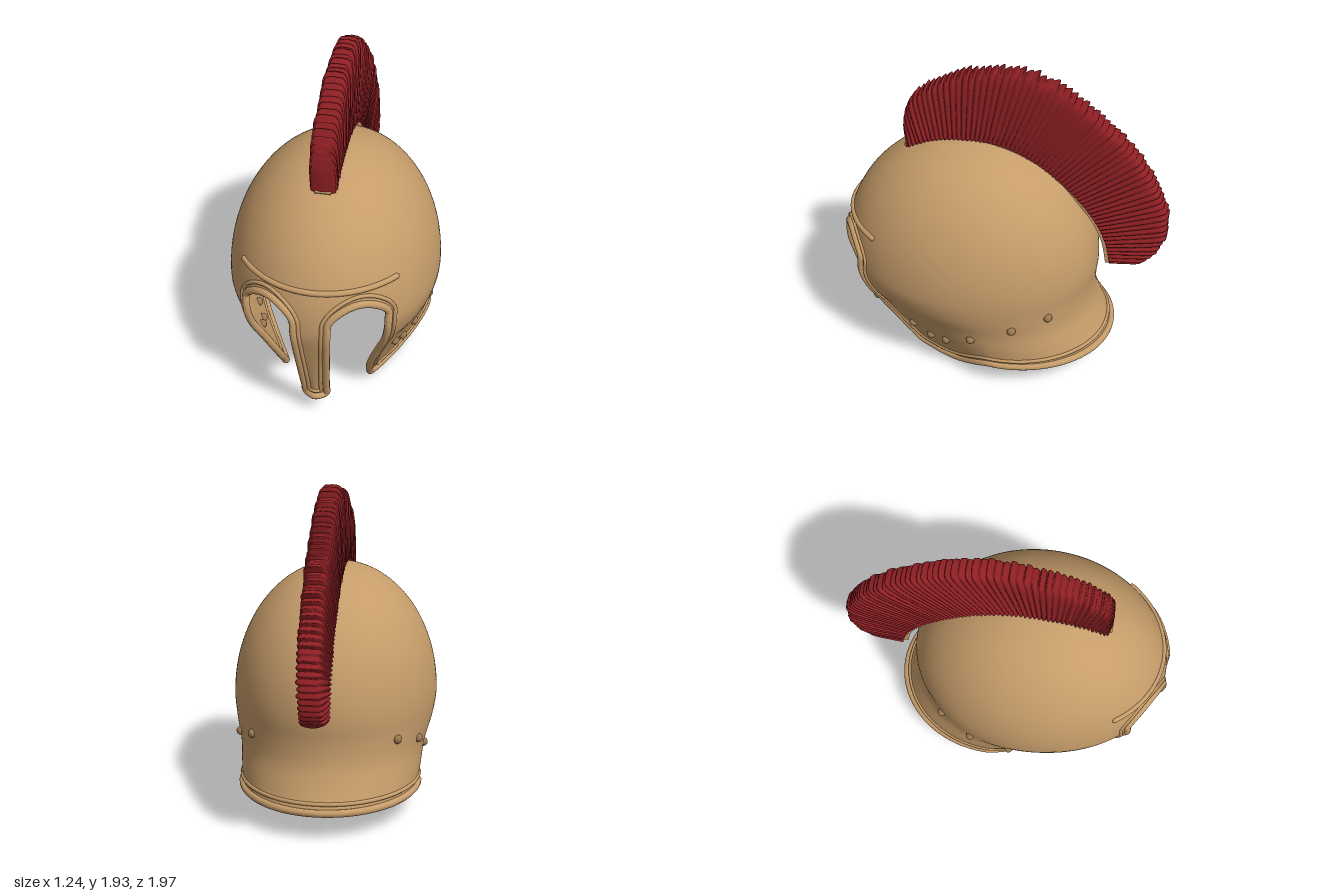
import * as THREE from 'three';
import { mergeGeometries, mergeVertices } from 'three/addons/utils/BufferGeometryUtils.js';

const { lerp, smoothstep, clamp } = THREE.MathUtils;

// Horizontal sections every 0.13 in height:
// half width, widest z, front z, back z, front roundness, cheek edge x
const SECTIONS = [
  [0.5, -0.1, 0.86, -0.7, 1.2, 0.262],
  [0.525, -0.08, 0.872, -0.69, 1.35, 0.268],
  [0.543, -0.03, 0.897, -0.63, 1.55, 0.297],
  [0.56, 0.05, 0.925, -0.58, 1.78, 0.34],
  [0.6, 0.15, 0.955, -0.57, 1.95, 0.385],
  [0.62, 0.2, 0.98, -0.58, 2, 0.405],
  [0.611, 0.2, 0.969, -0.569, 2, 0.405],
];

function section(y) {
  if (y >= 0.65) { // ellipsoid dome
    const k = Math.sqrt(Math.max(0, 1 - ((y - 0.65) / 0.79) ** 2));
    return [0.62 * k, 0.2, 0.2 + 0.78 * k, 0.2 - 0.78 * k, 2, 0.405];
  }
  const f = clamp(y / 0.13, 0, 4.9999), i = Math.floor(f), t = f - i;
  const row = (j) => SECTIONS[clamp(j, 0, 6)];
  return row(i).map((b, k) => {
    const a = row(i - 1)[k], c = row(i + 1)[k], d = row(i + 2)[k];
    return b + 0.5 * t * (c - a + t * (2 * a - 5 * b + 4 * c - d + t * (3 * (b - c) + d - a)));
  });
}

// Point on the helmet surface; angle 0 is the front, positive towards +x
function surface(angle, y) {
  const [w, zc, zf, zb, p] = section(y);
  const s = Math.sin(angle), c = Math.cos(angle);
  const e = c > 0 ? 2 / p : 1;
  const x = w * Math.sign(s) * Math.abs(s) ** lerp(1, 2 / p, smoothstep(c, -0.15, 0.15));
  return new THREE.Vector3(x, y, c > 0 ? zc + (zf - zc) * c ** e : zc + (zc - zb) * c);
}

function angleAt(x, y) {
  const [w, , , , p] = section(y);
  return Math.asin(Math.min(1, Math.max(0, x) / w) ** (p / 2));
}

// Edges of the face opening
const EYE = 0.74;
const noseX = (y) => 0.05 + 0.065 * Math.min(y, EYE);
const noseAngle = (y) => angleAt(noseX(Math.min(y, EYE)), Math.min(y, EYE));
const cheekX = (y) => section(Math.min(y, EYE))[5];
const cheekAngle = (y) => angleAt(cheekX(y), Math.min(y, EYE));
const archY = (t) => EYE + 0.1 * Math.max(0, Math.sin(Math.PI * t)) ** 0.7;
const rimY = (u) => 0.022 + 0.138 * smoothstep(u, 0.06, 0.34);

// Grid surface from a rule f(u, v) -> Vector3
function grid(nu, nv, f) {
  const pos = [], idx = [];
  for (let i = 0; i <= nu; i++) for (let j = 0; j <= nv; j++) pos.push(...f(i / nu, j / nv).toArray());
  for (let i = 0; i < nu; i++) for (let j = 0; j < nv; j++) {
    const a = i * (nv + 1) + j, b = a + nv + 1;
    idx.push(a, b, b + 1, a, b + 1, a + 1);
  }
  const g = new THREE.BufferGeometry();
  g.setAttribute('position', new THREE.Float32BufferAttribute(pos, 3));
  g.setIndex(idx);
  return g;
}

// Height from a lower edge (v = 0) to the crown (v = 1)
function domeY(low, v) {
  const a = Math.asin((low - 0.65) / 0.79);
  return 0.65 + 0.79 * Math.sin(lerp(a, Math.PI / 2, v));
}
const columnY = (low, v) => (v < 0.4 ? lerp(low, EYE, v / 0.4) : domeY(EYE, (v - 0.4) / 0.6));

function shellGeometry() {
  const parts = [grid(10, 50, (u, v) => {
    const y = columnY(0.125, v);
    return surface((2 * u - 1) * noseAngle(y), y);
  })];
  for (const s of [1, -1]) {
    const flip = (u) => (s > 0 ? u : 1 - u);
    parts.push(grid(20, 30, (u, v) => { // brow above the eye
      const t = flip(u);
      return surface(s * lerp(noseAngle(EYE), cheekAngle(EYE), t), domeY(archY(t), v));
    }));
    parts.push(grid(56, 50, (u, v) => { // cheek, side and back
      const t = flip(u), y = columnY(rimY(t), v);
      return surface(s * lerp(cheekAngle(y), Math.PI, t), y);
    }));
  }
  const g = mergeVertices(mergeGeometries(parts), 1e-4);
  g.computeVertexNormals();
  return g;
}

// Closed border line, moved inward from the edge by d
function borderCurve(d) {
  const half = [], up = 1.5 * d;
  const add = (angle, y) => half.push(surface(angle, y));
  add(0, 0.125 + up);
  for (let i = 0; i <= 10; i++) {
    const y = lerp(0.125 + up, EYE, i / 10);
    add(angleAt(noseX(y) - d, y), y);
  }
  const a = angleAt(noseX(EYE) - d, EYE), b = angleAt(cheekX(EYE) + d, EYE);
  for (let i = 1; i < 14; i++) {
    const t = i / 14;
    add(lerp(a, b, t), archY(t) + up * Math.sin(Math.PI * t) ** 0.5);
  }
  for (let i = 0; i <= 14; i++) {
    const y = lerp(EYE, 0.024 + up, i / 14);
    add(angleAt(cheekX(y) + d, y), y);
  }
  for (let i = 2; i <= 40; i++) {
    const u = lerp(0.02 + d, 1, i / 40), y = rimY(u) + up;
    add(lerp(cheekAngle(y), Math.PI, u), y);
  }
  const other = half.slice(1, -1).reverse().map((p) => new THREE.Vector3(-p.x, p.y, p.z));
  return new THREE.CatmullRomCurve3([...half, ...other], true);
}

// Crest guide lines in the (z, y) plane
const plane = (pts) => new THREE.SplineCurve(pts.map(([z, y]) => new THREE.Vector2(z, y)));
const crestBase = plane([[0.59, 1.335], [0.4, 1.42], [0.2, 1.45], [0, 1.435], [-0.2, 1.35],
  [-0.385, 1.2], [-0.54, 1.02], [-0.625, 0.85], [-0.66, 0.68]]);
const crestTip = plane([[0.595, 1.48], [0.56, 1.64], [0.42, 1.78], [0.2, 1.88], [0, 1.92], [-0.2, 1.9],
  [-0.4, 1.8], [-0.62, 1.63], [-0.82, 1.41], [-0.94, 1.2], [-0.985, 1], [-0.94, 0.82], [-0.84, 0.71]]);

function crestGeometry() {
  const strands = 64, steps = 6;
  const rand = (n) => { const v = Math.sin(n * 127.1 + 11.7) * 43758.5453; return v - Math.floor(v); };
  const g = grid(strands * steps, 26, (s, v) => {
    const k = s * strands, n = Math.floor(k + 1e-6), f = Math.max(0, k - n);
    const r = 1 - Math.abs(2 * v - 1); // 0 at the base, 1 at the tip
    const side = Math.sign(0.5 - v);
    const ends = Math.min(1, Math.sqrt(Math.min(s, 1 - s) / 0.012));
    const fold = 0.85 + 0.2 * Math.sin(Math.PI * f) + 0.06 * (rand(n) - 0.5);
    const width = 0.073 * ends * fold * Math.sqrt(Math.max(0, 1 - r ** 5));
    const b = crestBase.getPointAt(s), t = crestTip.getPointAt(s);
    const len = Math.sin(r * Math.PI / 2) * (0.95 + 0.055 * f + 0.04 * (rand(n + 90) - 0.5) * r);
    const p = b.lerp(t, len);
    return new THREE.Vector3(side * width + 0.012 * (rand(n + 40) - 0.5) * r * ends, p.y, p.x);
  });
  g.computeVertexNormals();
  return g;
}

function holderGeometry() {
  const top = crestBase.getSpacedPoints(50), centre = new THREE.Vector2(0.05, 0.7);
  const under = top.map((p) => p.clone().add(centre.clone().sub(p).setLength(0.03))).reverse();
  const lifted = top.map((p) => p.clone().add(p.clone().sub(centre).setLength(0.012)));
  const g = new THREE.ExtrudeGeometry(new THREE.Shape([...lifted, ...under]), { depth: 0.09, bevelEnabled: false });
  return g.rotateY(-Math.PI / 2).translate(0.045, 0, 0);
}

export function createModel() {
  const model = new THREE.Group();
  const material = (name, color) => Object.assign(new THREE.MeshStandardMaterial({ color }), { name });
  const bronze = material('bronze', 0xc69c6a);
  const rivetBronze = material('rivet bronze', 0x9a7850);
  const red = material('crest red', 0x8f1f24);
  bronze.side = red.side = THREE.DoubleSide;
  const add = (name, geometry, mat) => {
    const mesh = new THREE.Mesh(geometry, mat);
    mesh.name = name;
    model.add(mesh);
    return mesh;
  };

  add('helmetShell', shellGeometry(), bronze);
  add('edgeTrim', new THREE.TubeGeometry(borderCurve(0), 640, 0.022, 10, true), bronze);
  add('innerTrim', new THREE.TubeGeometry(borderCurve(0.03), 640, 0.012, 8, true), bronze);

  // Bar across the brow, with closed ends
  const brow = [];
  for (let i = -12; i <= 12; i++) {
    brow.push(surface(Math.sign(i) * angleAt(0.43 * Math.abs(i) / 12, 0.92), 0.92));
  }
  add('browBar', new THREE.TubeGeometry(new THREE.CatmullRomCurve3(brow), 60, 0.017, 10), bronze);
  for (const end of [brow[0], brow[24]]) {
    add('browBarEnd', new THREE.SphereGeometry(0.017, 10, 8), bronze).position.copy(end);
  }

  // Rivets along both sides, given as z and y
  const rivets = [[0.48, 0.28], [0.36, 0.23], [0.25, 0.26], [0.08, 0.355], [-0.165, 0.46], [-0.36, 0.51]];
  for (const [z, y] of rivets) for (const s of [1, -1]) {
    const [, zc, zf, zb, p] = section(y);
    const angle = z > zc ? Math.acos(((z - zc) / (zf - zc)) ** (p / 2)) : Math.acos((z - zc) / (zc - zb));
    add('rivet', new THREE.SphereGeometry(0.027, 16, 12), rivetBronze).position.copy(surface(s * angle, y));
  }

  add('crestHolder', holderGeometry(), bronze);
  add('crest', crestGeometry(), red);
  return model;
}
